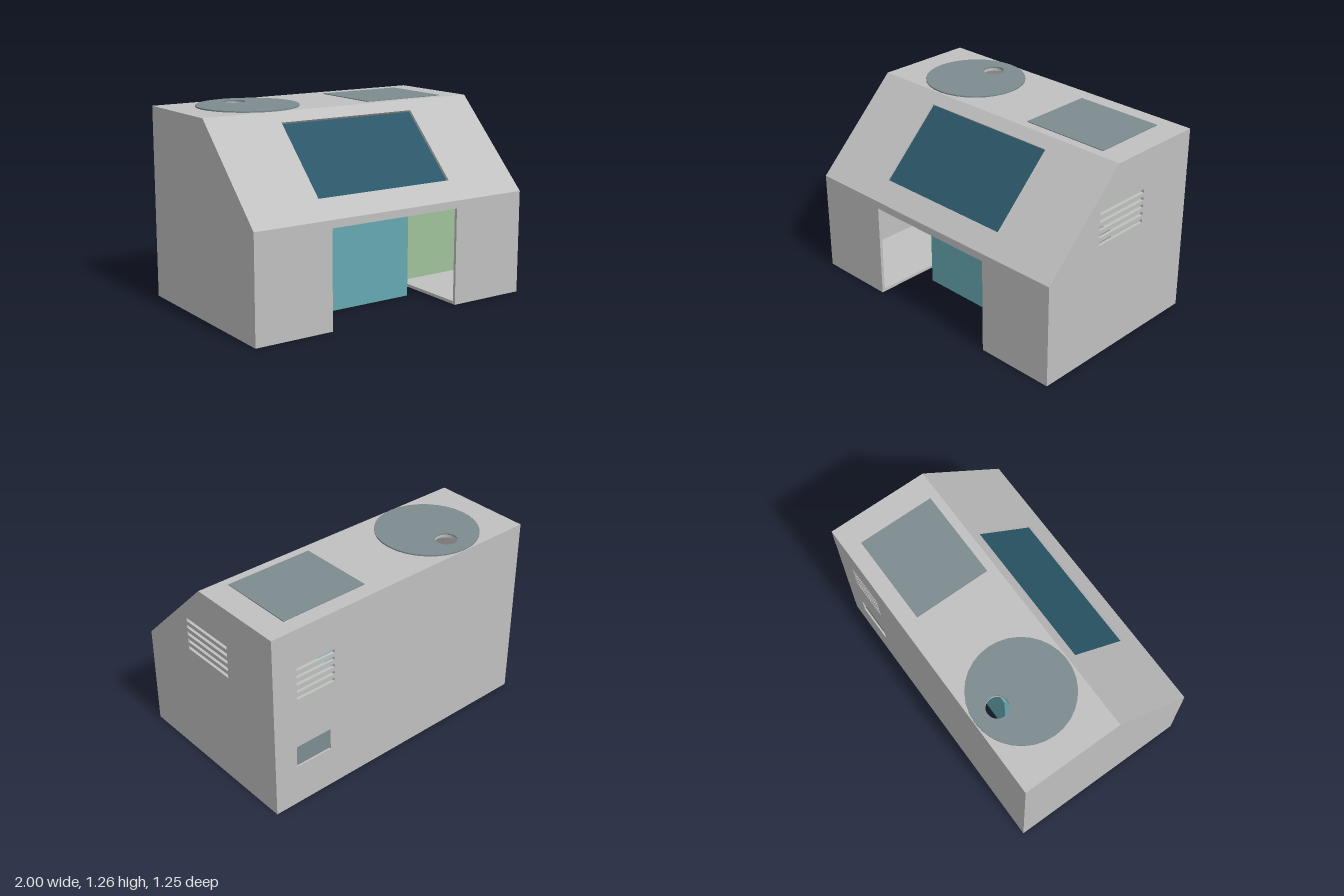
import * as THREE from 'three';

const mat = (name, color) => {
  const m = new THREE.MeshStandardMaterial({ color });
  m.name = name;
  return m;
};

export function createModel() {
  const shellGrey = mat('shell grey', 0xc0c0c0);
  const paneBlue = mat('dark pane blue', 0x2b5769);
  const plateGrey = mat('plate blue grey', 0x7d8c90);
  const teal = mat('teal', 0x66a8b1);
  const green = mat('pale green', 0xa0c29a);

  const model = new THREE.Group();
  model.name = 'kiosk';
  const T = 0.02; // wall thickness

  const add = (name, geometry, material, parent = model) => {
    const mesh = new THREE.Mesh(geometry, material);
    mesh.name = name;
    parent.add(mesh);
    return mesh;
  };
  const box = (name, material, [x0, x1], [y0, y1], [z0, z1], parent) => {
    const mesh = add(name, new THREE.BoxGeometry(x1 - x0, y1 - y0, z1 - z0), material, parent);
    mesh.position.set((x0 + x1) / 2, (y0 + y1) / 2, (z0 + z1) / 2);
    return mesh;
  };
  const outline = (pts) => pts.map(([x, y]) => new THREE.Vector2(x, y));
  const rect = (x0, x1, y0, y1) => [[x0, y0], [x1, y0], [x1, y1], [x0, y1]];
  const rectHole = (...r) => new THREE.Path(outline(rect(...r)));
  const roundHole = (x, y, r) => new THREE.Path().absarc(x, y, r, 0, Math.PI * 2, true);
  const slab = (shape, holes, depth, curveSegments = 12) => {
    shape.holes.push(...holes);
    return new THREE.ExtrudeGeometry(shape, { depth, bevelEnabled: false, curveSegments });
  };
  const panel = (name, pts, holes = [], parent = model) =>
    add(name, slab(new THREE.Shape(outline(pts)), holes, T), shellGrey, parent);

  // Five ventilation slots between two horizontal limits
  const slots = (a, b) => [0, 1, 2, 3, 4].map((i) => rectHole(a, b, 0.771 + i * 0.05, 0.794 + i * 0.05));

  // Side walls: profile drawn with shape x = -z
  const profile = [[-0.625, 0], [0.625, 0], [0.625, 1.25], [-0.05, 1.25], [-0.625, 0.68]];
  for (const [name, x, holes] of [['leftWall', 1 - T, slots(-0.2, 0.2)], ['rightWall', -1, []]]) {
    const wall = panel(name, profile, holes);
    wall.rotation.y = Math.PI / 2;
    wall.position.x = x;
  }

  // Front wall with the entry opening
  const W = 1 - T;
  panel('frontWall', [[-W, 0], [-0.47, 0], [-0.47, 0.63], [0.47, 0.63], [0.47, 0],
    [W, 0], [W, 0.68], [-W, 0.68]]).position.z = 0.625 - T;

  // Back wall with slots and a recessed access plate
  panel('backWall', rect(-W, W, 0, 1.25),
    [...slots(0.55, 0.83), rectHole(0.58, 0.84, 0.28, 0.43)]).position.z = -0.625;
  box('backAccessPlate', plateGrey, [0.58, 0.84], [0.28, 0.43], [-0.613, -0.606]);

  // Floor with the entry notch and two small drain holes
  const floor = panel('floor', [[-W, -0.605], [-0.47, -0.605], [-0.47, 0.38], [0.47, 0.38],
    [0.47, -0.605], [W, -0.605], [W, 0.605], [-W, 0.605]],
  [-0.17, 0.17].map((x) => roundHole(x, 0.45, 0.008)));
  floor.rotation.x = -Math.PI / 2;

  // Roof, open under the hole in the disc
  const roof = panel('roof', rect(-W, W, -0.05, 0.625), [roundHole(-0.5, 0.46, 0.07)]);
  roof.rotation.x = -Math.PI / 2;
  roof.position.y = 1.25 - T;

  // Sloped front panel with a recessed pane
  const slope = new THREE.Group();
  slope.name = 'slopedFront';
  slope.position.set(0, 0.68, 0.625);
  slope.rotation.x = -Math.atan2(0.575, 0.57);
  model.add(slope);
  panel('slopedWall', rect(-W, W, 0, 0.8097), [rectHole(-0.495, 0.49, 0.156, 0.724)], slope).position.z = -T;
  box('displayPane', paneBlue, [-0.495, 0.49], [0.156, 0.724], [-T, -T + 0.003], slope);

  // Disc and rectangular plate on the roof
  const discShape = new THREE.Shape().absarc(-0.5, 0.29, 0.33, 0, Math.PI * 2, false);
  const disc = add('roofDisc', slab(discShape, [roundHole(-0.5, 0.46, 0.07)], 0.009, 16), plateGrey);
  disc.rotation.x = -Math.PI / 2;
  disc.position.y = 1.25;
  box('roofPlate', plateGrey, [0.23, 0.83], [1.25, 1.255], [-0.52, -0.01]);

  // Block in the entry and the unit behind the slots
  box('entryBlock', teal, [-0.345, 0.345], [0, 0.6], [-0.3, 0.29]);
  box('innerUnit', green, [0.5, 0.96], [T, 0.8], [-0.58, 0.04]);

  return model;
}
